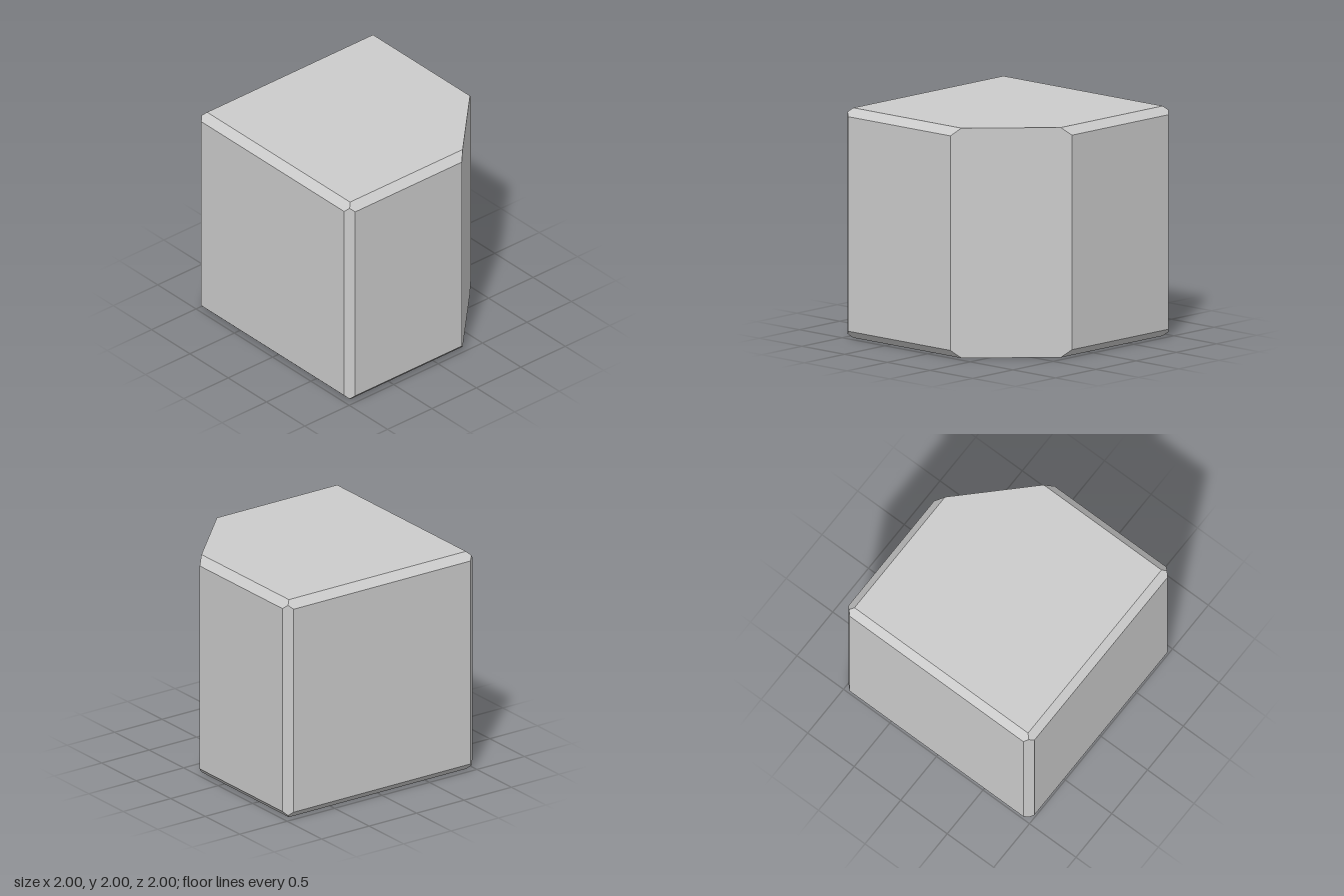
import * as THREE from 'three';
import { ConvexGeometry } from 'three/addons/geometries/ConvexGeometry.js';

const HALF = 1;              // half the side of the cube
const BEVEL = 0.067;         // narrow chamfer along the edges
const CUT = 0.733;           // wide chamfer of the one cut vertical edge

export function createModel() {
  const group = new THREE.Group();
  const inner = HALF - BEVEL;
  const hub = HALF - BEVEL / 2; // where three edge chamfers meet
  const points = [];
  const add = (x, y, z) => points.push(new THREE.Vector3(x, y, z));

  for (const sy of [-1, 1]) {
    // three corners with narrow chamfers
    for (const [sx, sz] of [[-1, -1], [1, -1], [-1, 1]]) {
      add(sx * HALF, sy * inner, sz * inner);
      add(sx * inner, sy * HALF, sz * inner);
      add(sx * inner, sy * inner, sz * HALF);
      add(sx * hub, sy * hub, sz * hub);
    }
    // end of the wide cut at the front left edge
    const near = HALF - CUT;
    add(HALF, sy * inner, near);
    add(inner, sy * HALF, near + BEVEL);
    add(near + BEVEL, sy * HALF, inner);
    add(near, sy * inner, HALF);
  }

  const block = new THREE.Mesh(
    new ConvexGeometry(points),
    new THREE.MeshStandardMaterial({ color: 0xcccccc, flatShading: true })
  );
  block.name = 'chamferedBlock';
  block.position.y = HALF;
  group.add(block);
  return group;
}
